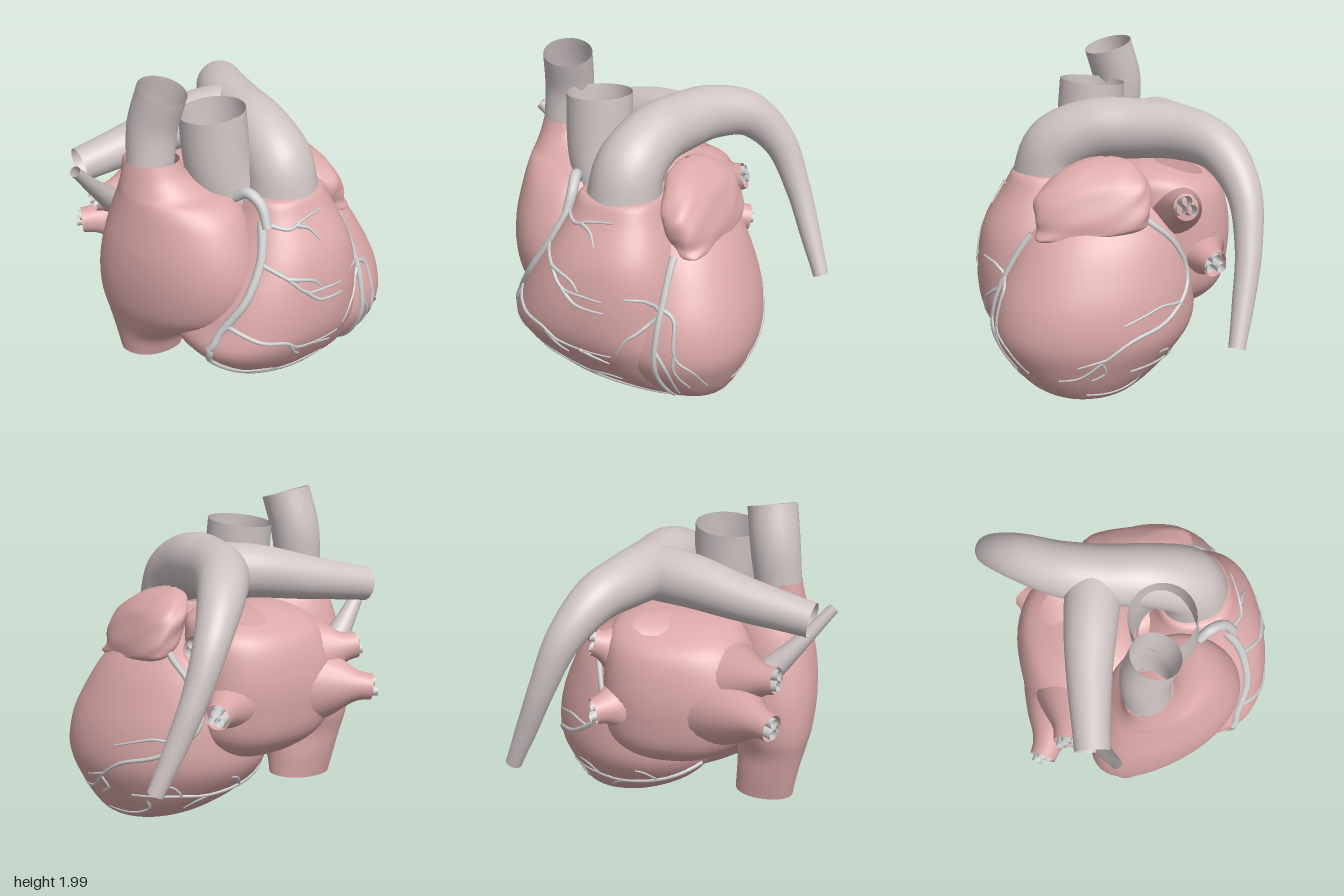
import * as THREE from 'three';

const flesh = new THREE.MeshStandardMaterial({ color: 0xdba8a8, side: THREE.DoubleSide });
const pale = new THREE.MeshStandardMaterial({ color: 0xcfc4c4, side: THREE.DoubleSide });
const grey = new THREE.MeshStandardMaterial({ color: 0xcccccc, side: THREE.DoubleSide });

// Catmull-Rom blend of table rows at t in 0..1
function sampleRows(rows, t) {
  const n = rows.length - 1, f = Math.min(t * n, n - 1e-6), i = Math.floor(f), u = f - i;
  const at = (k) => rows[Math.max(0, Math.min(n, k))];
  return rows[0].map((_, c) => {
    const [a, b, d, e] = [at(i - 1)[c], at(i)[c], at(i + 1)[c], at(i + 2)[c]];
    return b + 0.5 * u * (d - a + u * (2 * a - 5 * b + 4 * d - e + u * (3 * (b - d) + e - a)));
  });
}

// Horizontal sections [y, centreX, centreZ, radiusX, radiusZ] skinned into a smooth body;
// skew slides the front of each section towards +x
function loft(name, rows, { power = 2.2, skew = 0, lumps = 0 } = {}) {
  const N = 48, M = 48, pos = [], idx = [];
  const sup = (v) => Math.sign(v) * Math.abs(v) ** (2 / power);
  for (let i = 0; i <= M; i++) {
    const [y, cx, cz, rx, rz] = sampleRows(rows, i / M);
    for (let j = 0; j < N; j++) {
      const a = (j / N) * Math.PI * 2;
      const k = 1 + lumps * Math.sin(a * 5 + y * 14) * Math.sin(y * 22 + a * 2);
      const dz = rz * k * sup(Math.sin(a));
      pos.push(cx + rx * k * sup(Math.cos(a)) + skew * dz, y, cz + dz);
      if (i < M) {
        const p = i * N + j, q = i * N + ((j + 1) % N);
        idx.push(p, p + N, q, q, p + N, q + N);
      }
    }
  }
  const g = new THREE.BufferGeometry();
  g.setAttribute('position', new THREE.Float32BufferAttribute(pos, 3));
  g.setIndex(idx);
  g.computeVertexNormals();
  const mesh = new THREE.Mesh(g, flesh);
  mesh.name = name;
  return mesh;
}

// Tube along points [x, y, z, radius] with changing radius
function vessel(name, pts, material = pale, steps = 40, sides = 28) {
  const curve = new THREE.CatmullRomCurve3(pts.map((p) => new THREE.Vector3(p[0], p[1], p[2])));
  const g = new THREE.TubeGeometry(curve, steps, 1, sides);
  const p = g.attributes.position, n = g.attributes.normal;
  for (let i = 0; i <= steps; i++) {
    const c = curve.getPointAt(i / steps);
    const r = sampleRows(pts.map((q) => [q[3]]), curve.getUtoTmapping(i / steps))[0];
    for (let j = 0; j <= sides; j++) {
      const k = i * (sides + 1) + j;
      p.setXYZ(k, c.x + n.getX(k) * r, c.y + n.getY(k) * r, c.z + n.getZ(k) * r);
    }
  }
  const mesh = new THREE.Mesh(g, material);
  mesh.name = name;
  return mesh;
}

export function createModel() {
  const group = new THREE.Group();
  group.name = 'heart';

  // Chambers
  const leftVentricle = loft('leftVentricle', [
    [0.005, 0.5, 0.15, 0.01, 0.01], [0.03, 0.47, 0.15, 0.18, 0.2], [0.09, 0.4, 0.16, 0.31, 0.35],
    [0.22, 0.33, 0.15, 0.45, 0.49], [0.4, 0.31, 0.13, 0.53, 0.6], [0.6, 0.31, 0.11, 0.515, 0.6],
    [0.8, 0.29, 0.08, 0.465, 0.55], [1.0, 0.26, 0.05, 0.39, 0.46], [1.15, 0.21, 0.02, 0.28, 0.32],
    [1.24, 0.18, 0, 0.02, 0.02]], { power: 2.1, skew: 0.15 });
  const rightVentricle = loft('rightVentricle', [
    [0.035, 0.36, 0.31, 0.01, 0.01], [0.06, 0.3, 0.33, 0.23, 0.14], [0.11, 0.2, 0.36, 0.36, 0.21],
    [0.2, 0.09, 0.39, 0.45, 0.27], [0.31, 0.01, 0.4, 0.53, 0.34], [0.45, -0.04, 0.38, 0.58, 0.44],
    [0.6, -0.03, 0.37, 0.54, 0.48], [0.8, 0.01, 0.39, 0.48, 0.45], [1.0, 0.05, 0.4, 0.39, 0.39],
    [1.2, 0.06, 0.4, 0.29, 0.27], [1.29, 0.06, 0.39, 0.25, 0.23], [1.31, 0.06, 0.38, 0.21, 0.2]], { power: 2.5 });
  const rightAtrium = loft('rightAtrium', [
    [0.15, -0.535, -0.13, 0.18, 0.145], [0.3, -0.55, -0.11, 0.19, 0.2], [0.45, -0.555, -0.01, 0.215, 0.33],
    [0.6, -0.53, 0.07, 0.27, 0.45], [0.8, -0.51, 0.11, 0.305, 0.49], [1.0, -0.5, 0.12, 0.305, 0.46],
    [1.2, -0.48, 0.1, 0.29, 0.39], [1.3, -0.48, 0.07, 0.275, 0.32], [1.35, -0.51, 0.03, 0.24, 0.25],
    [1.43, -0.57, 0, 0.165, 0.18], [1.52, -0.58, -0.02, 0.14, 0.15]], { skew: 0.22 });
  const leftAtrium = loft('leftAtrium', [
    [0.43, 0, -0.27, 0.01, 0.01], [0.47, 0, -0.3, 0.23, 0.2], [0.6, -0.03, -0.33, 0.41, 0.33],
    [0.8, -0.06, -0.35, 0.47, 0.36], [1.0, -0.06, -0.35, 0.47, 0.36], [1.2, -0.03, -0.32, 0.42, 0.33],
    [1.3, -0.01, -0.25, 0.35, 0.26], [1.35, 0, -0.22, 0.2, 0.14], [1.36, 0, -0.22, 0.01, 0.01]], { power: 2.4 });
  const leftAuricle = loft('leftAuricle', [
    [0.98, 0.53, 0.41, 0.01, 0.02], [1.0, 0.53, 0.36, 0.07, 0.11], [1.05, 0.5, 0.17, 0.12, 0.29],
    [1.12, 0.475, 0.14, 0.14, 0.335], [1.22, 0.44, 0.13, 0.14, 0.335], [1.31, 0.405, 0.09, 0.13, 0.29],
    [1.38, 0.36, 0.07, 0.1, 0.21], [1.42, 0.33, 0.05, 0.06, 0.13], [1.44, 0.31, 0.05, 0.01, 0.02]],
  { power: 2.7, skew: -0.08, lumps: 0.03 });
  group.add(leftVentricle, rightVentricle, rightAtrium, leftAtrium, leftAuricle);

  // Great vessels
  group.add(
    vessel('archVessel', [[0.07, 1.22, 0.4, 0.225], [0.08, 1.43, 0.34, 0.21], [0.11, 1.55, 0.12, 0.19],
      [0.16, 1.57, -0.13, 0.18], [0.25, 1.57, -0.38, 0.165], [0.4, 1.51, -0.6, 0.14],
      [0.56, 1.3, -0.74, 0.105], [0.69, 1.0, -0.765, 0.08], [0.81, 0.7, -0.73, 0.065],
      [0.91, 0.46, -0.69, 0.05]], pale, 80, 36),
    vessel('archBranch', [[0.14, 1.56, -0.19, 0.17], [-0.1, 1.54, -0.26, 0.16], [-0.4, 1.48, -0.33, 0.135],
      [-0.83, 1.4, -0.4, 0.105]]),
    vessel('openTrunk', [[-0.14, 1.15, 0.2, 0.18], [-0.22, 1.42, 0.16, 0.2], [-0.245, 1.78, 0.13, 0.2]]),
    vessel('upperVein', [[-0.58, 1.48, -0.03, 0.142], [-0.555, 1.72, -0.03, 0.15], [-0.525, 1.95, 0.03, 0.15]]),
    vessel('slenderVein', [[-0.6, 1.08, -0.4, 0.075], [-0.76, 1.24, -0.35, 0.05], [-0.94, 1.44, -0.28, 0.033]]));

  // Lung veins: flared fleshy root, with a bundle of small pipes in each mouth
  const roots = [
    [[0.12, 1.06, -0.33], [0.47, 1.17, -0.42]], [[0.07, 0.87, -0.38], [0.43, 0.8, -0.6]],
    [[-0.15, 0.88, -0.38], [-0.65, 0.83, -0.69]], [[-0.15, 1.0, -0.36], [-0.65, 1.06, -0.53]]];
  for (const [a, b] of roots) {
    const mix = (t, r) => [...a.map((v, i) => v + (b[i] - v) * t), r];
    group.add(vessel('lungVeinRoot',
      [mix(0, 0.32), mix(0.3, 0.28), mix(0.6, 0.19), mix(0.83, 0.1), mix(1, 0.08)], flesh, 24));
    for (let k = 0; k < 3; k++) {
      const dy = Math.cos(k * 2.1) * 0.036, dz = Math.sin(k * 2.1) * 0.036;
      const end = ([x, y, z, r]) => [x, y + dy, z + dz, r];
      group.add(vessel('lungVeinPipe', [end(mix(0.7, 0.03)), end(mix(1.03, 0.032))], grey, 2, 12));
    }
  }

  // Surface arteries: flat paths dropped onto the chambers along one axis
  const walls = [leftVentricle, rightVentricle, rightAtrium];
  const ray = new THREE.Raycaster();
  const aim = {
    front: (a, b) => [new THREE.Vector3(a, b, 3), new THREE.Vector3(0, 0, -1)],
    back: (a, b) => [new THREE.Vector3(a, b, -3), new THREE.Vector3(0, 0, 1)],
    side: (a, b) => [new THREE.Vector3(3, b, a), new THREE.Vector3(-1, 0, 0)],
  };
  function artery(view, r0, r1, path) {
    const n = (path.length - 1) * 4, pts = [];
    for (let i = 0; i <= n; i++) {
      const [a, b] = sampleRows(path, i / n);
      ray.set(...aim[view](a, b));
      const hit = ray.intersectObjects(walls, false)[0];
      if (hit) pts.push([hit.point.x, hit.point.y, hit.point.z, r0 + (r1 - r0) * (i / n)]);
    }
    if (pts.length > 2) group.add(vessel('surfaceArtery', pts, grey, n * 2, 8));
  }
  group.add(vessel('arteryStart', [[-0.26, 1.31, 0.36, 0.03], [-0.23, 1.36, 0.44, 0.034],
    [-0.2, 1.3, 0.53, 0.032], [-0.205, 1.18, 0.59, 0.03]], grey, 20, 12));
  artery('front', 0.03, 0.024, [[-0.205, 1.2], [-0.28, 1.02], [-0.4, 0.82], [-0.53, 0.62], [-0.6, 0.48]]);
  artery('front', 0.024, 0.01, [[-0.6, 0.48], [-0.57, 0.38], [-0.4, 0.27], [-0.2, 0.18], [0, 0.14], [0.25, 0.09], [0.5, 0.06]]);
  const twigs = [
    [[-0.2, 1.2], [-0.1, 1.17], [0, 1.2], [0.15, 1.22]], [[-0.05, 1.18], [0.02, 1.15], [0.07, 1.08]],
    [[-0.3, 1.0], [-0.2, 0.92], [-0.1, 0.82], [0.05, 0.8], [0.17, 0.79]],
    [[-0.2, 0.92], [-0.05, 0.88], [0.01, 0.82]], [[-0.1, 0.82], [0, 0.74], [0.18, 0.72]],
    [[-0.52, 0.64], [-0.4, 0.56], [-0.25, 0.52], [-0.15, 0.45], [0, 0.42], [0.2, 0.41]],
    [[-0.22, 0.5], [-0.16, 0.41], [-0.1, 0.36]], [[0, 0.42], [0.08, 0.38], [0.17, 0.34]],
    [[-0.2, 0.18], [-0.05, 0.16], [0.08, 0.2], [0.2, 0.19]], [[-0.4, 0.27], [-0.25, 0.25], [-0.12, 0.17]],
    [[0.46, 0.7], [0.36, 0.6], [0.3, 0.55], [0.24, 0.45]], [[0.46, 0.72], [0.39, 0.8], [0.29, 0.82]],
    [[0.47, 0.74], [0.55, 0.68], [0.58, 0.47], [0.67, 0.36], [0.7, 0.22]],
    [[0.58, 0.5], [0.57, 0.38], [0.62, 0.22]], [[0.46, 0.5], [0.53, 0.36], [0.54, 0.14]]];
  for (const path of twigs) artery('front', 0.015, 0.006, path);
  artery('front', 0.025, 0.012, [[0.455, 1.0], [0.465, 0.75], [0.46, 0.5], [0.46, 0.3], [0.49, 0.1]]);
  artery('side', 0.02, 0.007, [[-0.18, 1.1], [-0.33, 0.97], [-0.42, 0.8], [-0.42, 0.65], [-0.3, 0.52],
    [-0.1, 0.45], [0.05, 0.35], [0.2, 0.23], [0.33, 0.2]]);
  for (const path of [
    [[-0.4, 0.6], [-0.28, 0.62], [-0.2, 0.6], [-0.05, 0.55]], [[0.05, 0.35], [0.12, 0.33], [0.22, 0.3]],
    [[0.08, 0.33], [0.06, 0.25], [0.14, 0.2]], [[-0.15, 0.2], [-0.12, 0.13], [0, 0.08], [0.17, 0.08]]])
    artery('side', 0.011, 0.006, path);
  artery('back', 0.018, 0.008, [[-0.15, 0.34], [0.05, 0.27], [0.3, 0.23], [0.5, 0.24], [0.7, 0.23]]);
  for (const path of [[[0.1, 0.26], [0.16, 0.33], [0.22, 0.35]], [[0.3, 0.23], [0.38, 0.18], [0.42, 0.13]],
    [[0.48, 0.24], [0.55, 0.31], [0.62, 0.32]]]) artery('back', 0.01, 0.006, path);
  return group;
}
